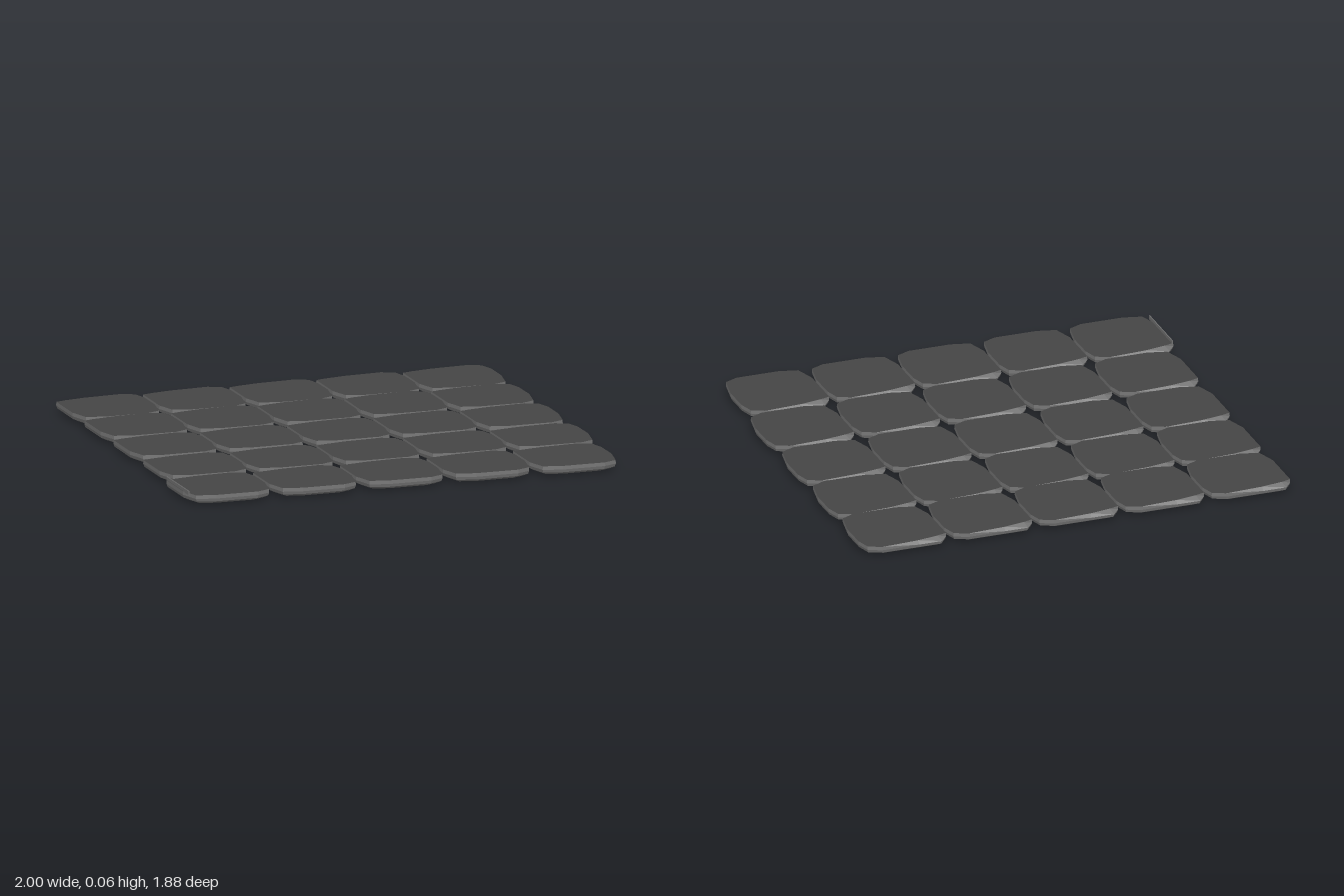
import * as THREE from 'three';

// Plan outline of one slab (x, z), rounded off unevenly at the corners
const OUTLINE = [
  [-0.193, -0.142], [-0.16, -0.184], [-0.053, -0.184], [0.118, -0.184], [0.175, -0.157], [0.193, -0.09],
  [0.194, 0.04], [0.172, 0.157], [0.113, 0.184], [-0.08, 0.184], [-0.165, 0.163], [-0.193, 0.07],
];

// Cross-sections from underside to top: height, scale
const LEVELS = [[0.003, 0.86], [0.015, 0.98], [0.028, 1], [0.044, 0.997]];

// Inset of the chipped back-left corner on the top edge, by outline index
const CHIP = { 1: [0.012, 0.028], 2: [0, 0.011] };

function slabGeometry() {
  const n = OUTLINE.length;
  const rings = LEVELS.map(([y, s], level) => OUTLINE.map(([x, z], i) => {
    const [dx, dz] = (level === LEVELS.length - 1 && CHIP[i]) || [0, 0];
    return [x * s + dx, y, z * s + dz];
  }));
  const top = rings[rings.length - 1];
  const sides = [], face = [];
  for (let i = 0; i < n; i++) {
    const j = (i + 1) % n;
    for (let k = 0; k < rings.length - 1; k++) {
      const lower = rings[k], upper = rings[k + 1];
      sides.push(lower[i], upper[i], upper[j], lower[i], upper[j], lower[j]);
    }
    sides.push([0, 0, 0], rings[0][i], rings[0][j]);
    face.push([0, 0.044, 0], top[j], top[i]);
  }
  const geometry = new THREE.BufferGeometry();
  const positions = [...sides, ...face].flat();
  geometry.setAttribute('position', new THREE.Float32BufferAttribute(positions, 3));
  geometry.computeVertexNormals();
  // group 0: edges and underside, group 1: walking surface
  geometry.addGroup(0, sides.length, 0);
  geometry.addGroup(sides.length, face.length, 1);
  return geometry;
}

export function createModel() {
  const model = new THREE.Group();
  model.name = 'stonePaving';

  const edgeStone = new THREE.MeshStandardMaterial({ color: 0x747474 });
  edgeStone.name = 'grey edge stone';
  const topStone = new THREE.MeshStandardMaterial({ color: 0x454545 });
  topStone.name = 'dark top stone';

  // Five rows of five slabs, the front row shifted sideways
  const geometry = slabGeometry();
  const rowZ = [-0.755, -0.391, -0.014, 0.372, 0.752];
  rowZ.forEach((z, r) => {
    const row = new THREE.Group();
    row.name = `slabRow${r + 1}`;
    const shift = r === 4 ? -0.016 : 0.012;
    for (let c = 0; c < 5; c++) {
      const slab = new THREE.Mesh(geometry, [edgeStone, topStone]);
      slab.name = `slab${c + 1}`;
      slab.position.set((c - 2) * 0.397 + shift, 0, z);
      row.add(slab);
    }
    model.add(row);
  });

  // Thin upright sliver on the edge of the front corner slab
  const sliver = new THREE.Mesh(new THREE.BoxGeometry(0.004, 0.018, 0.285), edgeStone);
  sliver.name = 'edgeSliver';
  sliver.position.set(-0.997, 0.049, 0.745);
  model.add(sliver);

  return model;
}
